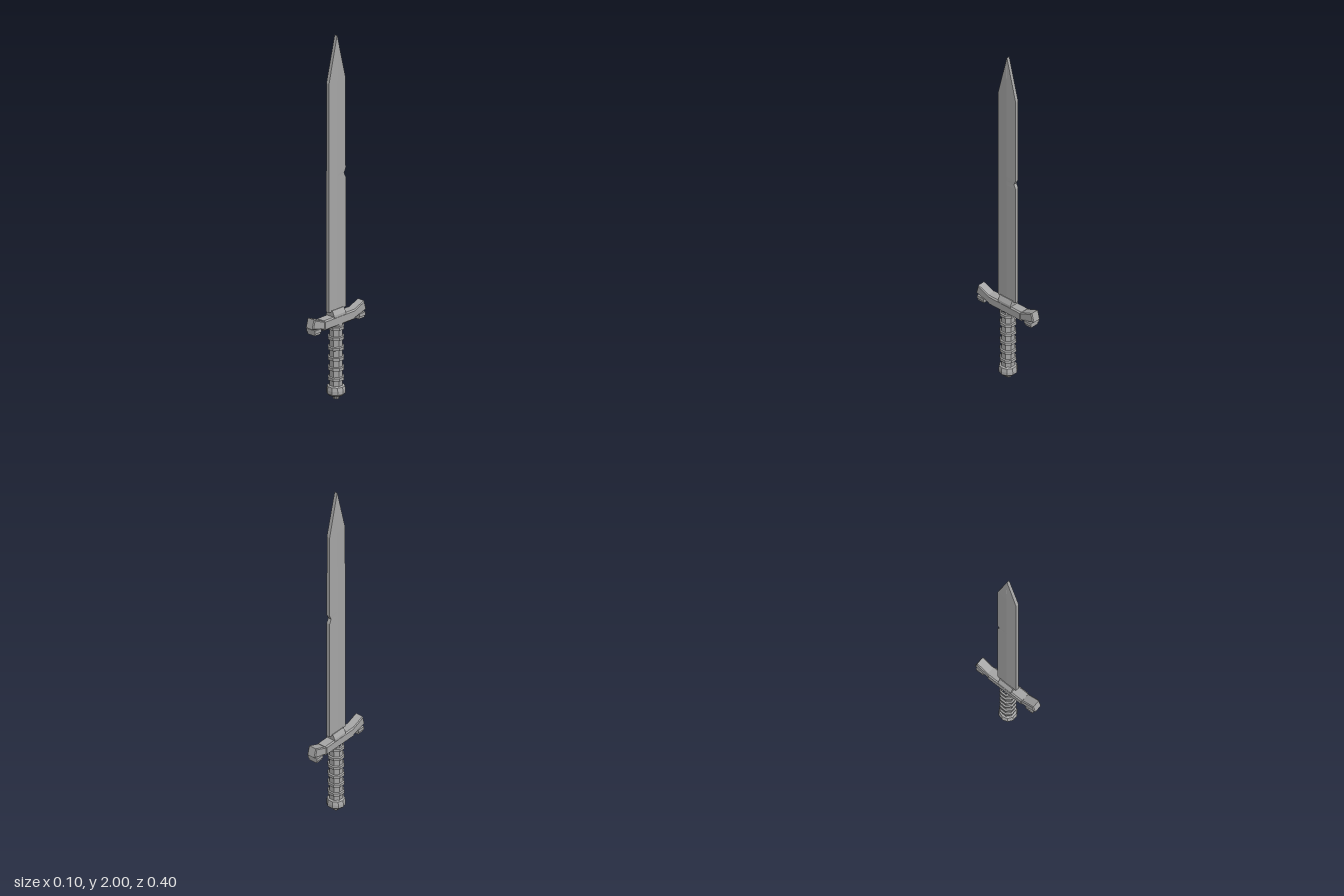
import * as THREE from 'three';

const steel = new THREE.MeshStandardMaterial({ color: 0xa8a8a8, flatShading: true });
steel.name = 'steel grey';

const add = (parent, name, geometry) => {
  const mesh = new THREE.Mesh(geometry, steel);
  mesh.name = name;
  parent.add(mesh);
  return mesh;
};

// Skin a stack of equal-length rings (each counter-clockwise seen from above) and cap both ends
function loft(rings) {
  const n = rings[0].length;
  const index = [];
  for (let j = 0; j < rings.length - 1; j++) {
    for (let i = 0; i < n; i++) {
      const a = j * n + i, b = j * n + (i + 1) % n;
      index.push(a, b, b + n, a, b + n, a + n);
    }
  }
  const top = (rings.length - 1) * n;
  for (let i = 1; i < n - 1; i++) {
    index.push(0, i + 1, i);
    index.push(top, top + i, top + i + 1);
  }
  const geometry = new THREE.BufferGeometry();
  geometry.setAttribute('position', new THREE.Float32BufferAttribute(rings.flat(2), 3));
  geometry.setIndex(index);
  geometry.computeVertexNormals();
  return geometry;
}

// Extrude a (z, y) outline across x, with bevelled edges, to a total half width
function slab(points, halfWidth, bevel) {
  const shape = new THREE.Shape(points.map(([z, y]) => new THREE.Vector2(z, y)));
  const depth = 2 * (halfWidth - bevel);
  const geometry = new THREE.ExtrudeGeometry(shape, {
    depth, bevelEnabled: true, bevelThickness: bevel, bevelSize: bevel,
    bevelOffset: -bevel, bevelSegments: 1,
  });
  return geometry.translate(0, 0, -depth / 2).rotateY(-Math.PI / 2);
}

const lathe = (profile, sides, start) =>
  new THREE.LatheGeometry(profile.map(([r, y]) => new THREE.Vector2(r, y)), sides, start);

export function createModel() {
  const sword = new THREE.Group();
  sword.name = 'sword';

  // Blade: shallow central ridge, flat edges, a nick in the rear edge
  const stations = [ // y, front z, rear z, edge half width, ridge half width
    [0.49, 0.062, -0.062, 0.010, 0.012],
    [1.205, 0.062, -0.062, 0.010, 0.012],
    [1.23, 0.062, -0.05, 0.010, 0.012],
    [1.255, 0.062, -0.062, 0.010, 0.012],
    [1.75, 0.062, -0.062, 0.0095, 0.0115],
    [2.0, 0.001, -0.001, 0.0085, 0.009],
  ];
  add(sword, 'blade', loft(stations.map(([y, f, r, e, c]) => [
    [e, y, f], [c, y, 0], [e, y, r], [-e, y, r], [-c, y, 0], [-e, y, f],
  ])));

  // Tapered collar gripping the blade root
  const collarRing = (y, x) => [[x, y, 0.043], [x, y, -0.043], [-x, y, -0.043], [-x, y, 0.043]];
  add(sword, 'collar', loft([collarRing(0.45, 0.03), collarRing(0.472, 0.028), collarRing(0.497, 0.015)]));

  // Crossguard: straight middle block, upswept arms, a lug under each arm
  const guard = new THREE.Group();
  guard.name = 'crossguard';
  sword.add(guard);
  add(guard, 'guardBlock', slab([[-0.115, 0.41], [0.115, 0.41], [0.115, 0.465], [-0.115, 0.465]], 0.03, 0.007));
  for (const side of [1, -1]) {
    const arm = new THREE.Group();
    arm.name = side > 0 ? 'frontArm' : 'rearArm';
    arm.rotation.y = side > 0 ? 0 : Math.PI;
    guard.add(arm);
    add(arm, 'armBar', slab([[0.1, 0.415], [0.115, 0.415], [0.2, 0.44], [0.186, 0.491], [0.115, 0.463], [0.1, 0.463]], 0.026, 0.005));
    add(arm, 'lug', new THREE.BoxGeometry(0.062, 0.018, 0.047)).position.set(0, 0.422, 0.164);
    add(arm, 'lugFoot', new THREE.BoxGeometry(0.052, 0.013, 0.041)).position.set(0, 0.4075, 0.164);
  }

  // Eight-sided grip with raised bands
  const core = 0.037, band = 0.045;
  const profile = [[core, 0.06]];
  for (let i = 0; i < 6; i++) {
    const y = 0.115 + i * 0.056;
    profile.push([core, y - 0.011], [band, y - 0.008], [band, y + 0.008], [core, y + 0.011]);
  }
  profile.push([core, 0.42]);
  add(sword, 'grip', lathe(profile, 8, Math.PI / 8));

  // Ten-sided pommel with a small end button
  add(sword, 'pommel', lathe([
    [0, 0], [0.016, 0], [0.018, 0.014], [0.038, 0.022], [0.05, 0.034],
    [0.05, 0.052], [0.046, 0.072], [0.034, 0.078],
  ], 10, Math.PI / 2));

  return sword;
}
